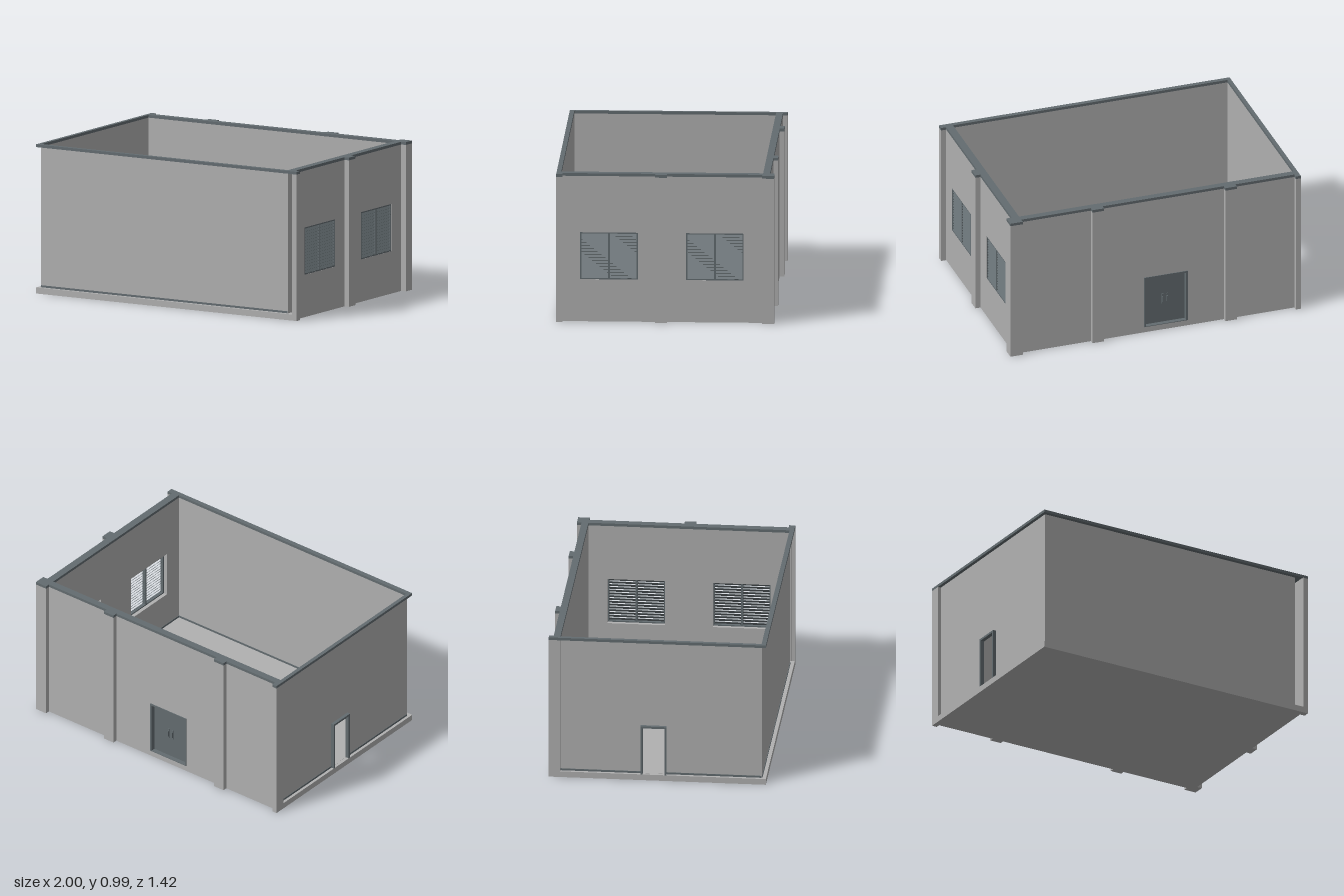
import * as THREE from 'three';

export function createModel() {
  const model = new THREE.Group();
  model.name = 'room';
  const plaster = new THREE.MeshStandardMaterial({ color: 0xb0b0b0 });
  plaster.name = 'plaster grey';
  const slate = new THREE.MeshStandardMaterial({ color: 0x636c70 });
  slate.name = 'slate grey';

  // Box given by its limits on each axis
  function box(name, mat, x0, x1, y0, y1, z0, z1) {
    const mesh = new THREE.Mesh(new THREE.BoxGeometry(x1 - x0, y1 - y0, z1 - z0), mat);
    mesh.position.set((x0 + x1) / 2, (y0 + y1) / 2, (z0 + z1) / 2);
    mesh.name = name;
    model.add(mesh);
    return mesh;
  }

  // Upright panel with rectangular holes [u0, u1, y0, y1]; u runs along x, or along z when side is true
  function panel(name, mat, side, u0, u1, y0, y1, d0, d1, holes = []) {
    const rect = (target, a, b, c, d) => {
      target.moveTo(a, c);
      target.lineTo(b, c);
      target.lineTo(b, d);
      target.lineTo(a, d);
      target.closePath();
      return target;
    };
    const shape = rect(new THREE.Shape(), u0, u1, y0, y1);
    for (const h of holes) shape.holes.push(rect(new THREE.Path(), ...h));
    const geo = new THREE.ExtrudeGeometry(shape, { depth: d1 - d0, bevelEnabled: false });
    if (side) geo.rotateY(-Math.PI / 2).translate(d1, 0, 0);
    else geo.translate(0, 0, d0);
    const mesh = new THREE.Mesh(geo, mat);
    mesh.name = name;
    model.add(mesh);
  }

  // Rectangular frame of width w around an opening
  function frame(name, mat, side, u0, u1, y0, y1, d0, d1, w, sill = w) {
    panel(name, mat, side, u0, u1, y0, y1, d0, d1, [[u0 + w, u1 - w, y0 + sill, y1 - w]]);
  }

  const floor = 0.04, capY = 0.967, top = 0.985;

  // Floor slab
  box('floorSlab', plaster, -1, 0.965, 0, floor, -0.68, 0.71);

  // Thin front and left walls, set back from the slab edge
  const sideDoor = [-0.11, 0.06, floor + 0.001, 0.38];
  box('frontWall', plaster, -0.976, 0.916, floor, capY, 0.68, 0.683);
  panel('leftWall', plaster, true, -0.635, 0.683, floor, capY, -0.978, -0.975, [sideDoor]);

  // Thick back wall with the double door opening
  const door = { x0: -0.23, x1: 0.07, y1: 0.405 };
  panel('backWall', plaster, false, -1, 0.965, 0, capY, -0.68, -0.635,
    [[door.x0, door.x1, floor, door.y1]]);

  // Hollow window wall made of two sheets, open at its front end
  const windows = [[0.18, 0.555], [-0.51, -0.135]];
  const wy0 = 0.28, wy1 = 0.592;
  const holes = windows.map(([a, b]) => [a, b, wy0, wy1]);
  panel('windowWallInner', plaster, true, -0.635, 0.683, floor, capY, 0.915, 0.918, holes);
  panel('windowWallOuter', plaster, true, -0.635, 0.69, 0, capY, 0.962, 0.965, holes);

  // Pilasters with their caps: limits x0, x1, z0, z1
  const pilasters = [
    [-1, -0.965, -0.71, -0.68], [-0.56, -0.48, -0.71, -0.68], [0.355, 0.435, -0.71, -0.68],
    [0.915, 1, -0.71, -0.68], [0.965, 1, -0.68, -0.632],
    [0.965, 1, -0.012, 0.065], [0.965, 1, 0.67, 0.71],
  ];
  for (const [x0, x1, z0, z1] of pilasters) {
    box('pilaster', plaster, x0, x1, 0, capY, z0, z1);
    box('pilasterCap', slate, x0, x1, capY, top, z0, z1);
  }

  // Coping along the wall tops
  box('frontCoping', slate, -1, 0.965, capY, top, 0.68, 0.71);
  box('leftCoping', slate, -1, -0.975, capY, top, -0.635, 0.68);
  box('backCoping', slate, -1, 0.965, capY, top, -0.68, -0.635);
  box('rightCoping', slate, 0.915, 0.965, capY, top, -0.635, 0.68);

  // Skirting boards
  const sk = floor + 0.013;
  box('frontSkirting', slate, -0.975, 0.915, floor, sk, 0.677, 0.686);
  box('rightSkirting', slate, 0.912, 0.915, floor, sk, -0.635, 0.68);
  for (const [a, b] of [[-0.635, sideDoor[0]], [sideDoor[1], 0.68]])
    box('leftSkirting', slate, -0.981, -0.972, floor, sk, a, b);
  for (const [a, b] of [[-0.975, door.x0], [door.x1, 0.915]])
    box('backSkirting', slate, a, b, floor, sk, -0.635, -0.632);

  // Louvred windows
  for (const [z0, z1] of windows) {
    const mid = (z0 + z1) / 2, count = 15;
    frame('windowReveal', plaster, true, z0 - 0.003, z1 + 0.003, wy0 - 0.003, wy1 + 0.003, 0.918, 0.94, 0.003);
    frame('windowFrame', slate, true, z0, z1, wy0, wy1, 0.94, 0.964, 0.008);
    box('windowMullion', slate, 0.94, 0.964, wy0, wy1, mid - 0.006, mid + 0.006);
    const pitch = (wy1 - wy0 - 0.016) / count;
    for (let i = 0; i < count; i++) {
      const y = wy0 + 0.008 + (i + 0.5) * pitch;
      const slat = box('louvreSlat', slate, 0.938, 0.966, y - 0.001, y + 0.001, z0 + 0.006, z1 - 0.006);
      slat.rotation.z = -0.82;
    }
  }

  // Left doorway: open, with a jamb on each side and a head
  const [dz0, dz1, , dTop] = sideDoor;
  box('doorwayJamb', slate, -1, -0.974, floor, dTop, dz0, dz0 + 0.014);
  box('doorwayJamb', slate, -1, -0.974, floor, dTop, dz1 - 0.014, dz1);
  box('doorwayHead', slate, -1, -0.974, dTop - 0.014, dTop, dz0, dz1);

  // Back double door: frame, leaves, handles and closers
  const dm = (door.x0 + door.x1) / 2;
  frame('backDoorFrame', slate, false, door.x0, door.x1, floor, door.y1, -0.685, -0.634, 0.012, 0.004);
  for (const s of [-1, 1]) {
    const a = dm + s * 0.001, b = dm + s * 0.139;
    box('doorLeaf', slate, Math.min(a, b), Math.max(a, b), floor + 0.003, door.y1 - 0.011, -0.655, -0.64);
    const h = dm + s * 0.016;
    box('doorHandlePlate', slate, h - 0.007, h + 0.007, 0.18, 0.25, -0.659, -0.636);
    box('doorHandle', slate, h - 0.003, h + 0.003, 0.195, 0.235, -0.668, -0.628);
    const c = dm + s * 0.066;
    box('doorCloser', slate, c - 0.052, c + 0.052, 0.375, 0.392, -0.64, -0.62);
  }

  return model;
}
